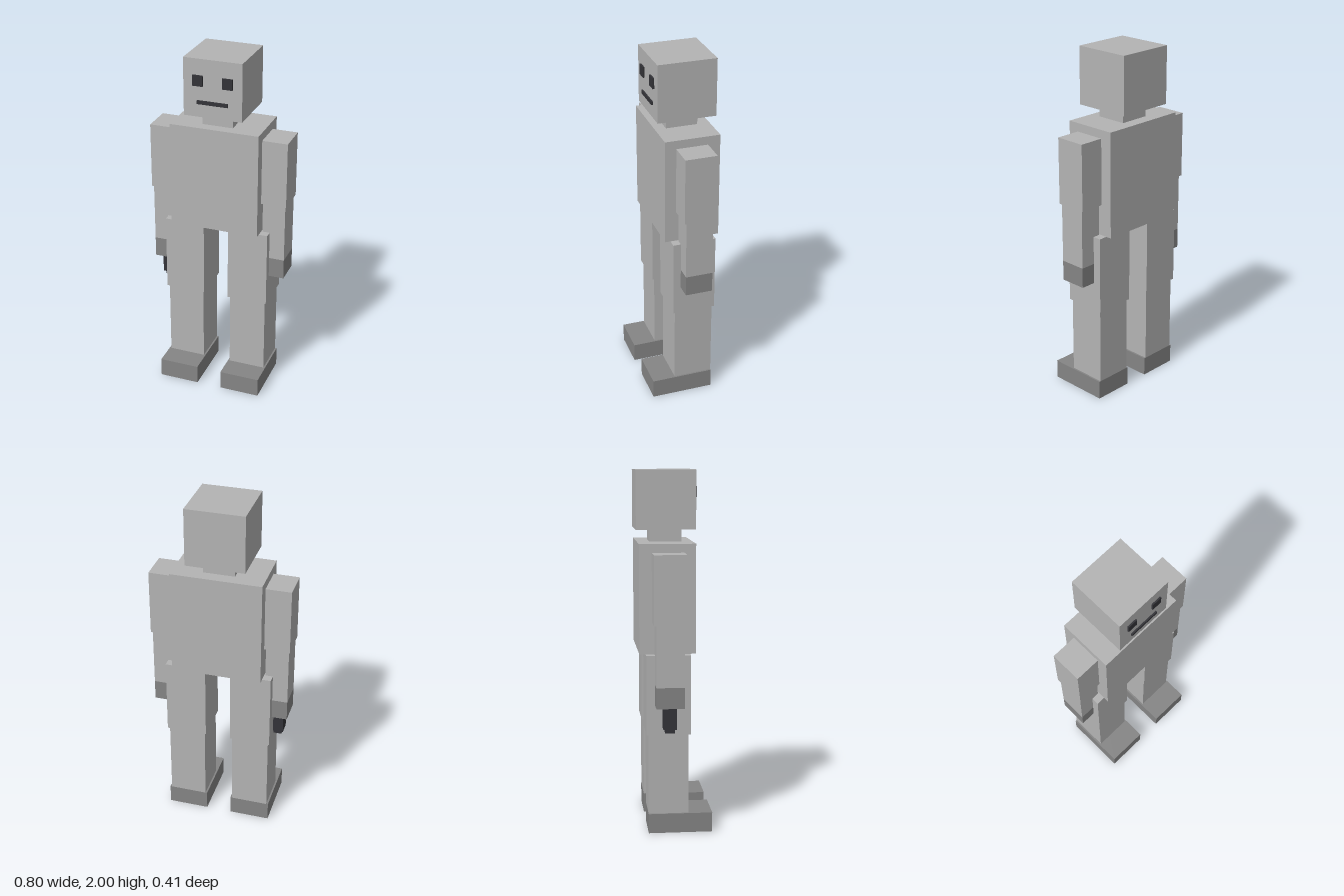
import * as THREE from 'three';

const material = (name, color) => {
  const m = new THREE.MeshStandardMaterial({ color });
  m.name = name;
  return m;
};

export function createModel() {
  const lightGrey = material('light grey', 0xb4b4b4);
  const darkGrey = material('dark grey', 0x858585);
  const charcoal = material('charcoal', 0x333338);

  const model = new THREE.Group();
  model.name = 'blockFigure';

  // Box given by its [min, max] extent on each axis
  function block(parent, name, mat, [x0, x1], [y0, y1], [z0, z1]) {
    const mesh = new THREE.Mesh(new THREE.BoxGeometry(Math.abs(x1 - x0), y1 - y0, z1 - z0), mat);
    mesh.position.set((x0 + x1) / 2, (y0 + y1) / 2, (z0 + z1) / 2);
    mesh.name = name;
    parent.add(mesh);
  }

  // Torso, neck and head
  block(model, 'torso', lightGrey, [-0.256, 0.256], [1.003, 1.605], [-0.195, 0.115]);
  block(model, 'neck', lightGrey, [-0.088, 0.088], [1.605, 1.675], [-0.125, 0.053]);
  const head = new THREE.Group();
  head.name = 'head';
  model.add(head);
  block(head, 'skull', lightGrey, [-0.166, 0.166], [1.675, 2], [-0.205, 0.125]);
  block(head, 'mouth', charcoal, [-0.088, 0.088], [1.75, 1.77], [0.125, 0.134]);

  // Mirrored eyes, arms and legs
  for (const [side, s] of [['left', 1], ['right', -1]]) {
    const span = (a, b) => [s * a, s * b];
    block(head, side + 'Eye', charcoal, span(0.055, 0.113), [1.85, 1.91], [0.125, 0.134]);

    const arm = new THREE.Group();
    arm.name = side + 'Arm';
    model.add(arm);
    block(arm, side + 'UpperArm', lightGrey, span(0.256, 0.4), [1.18, 1.557], [-0.126, 0.052]);
    block(arm, side + 'Forearm', lightGrey, span(0.263, 0.393), [0.842, 1.18], [-0.113, 0.041]);
    block(arm, side + 'Hand', darkGrey, span(0.263, 0.393), [0.726, 0.842], [-0.113, 0.041]);

    const leg = new THREE.Group();
    leg.name = side + 'Leg';
    model.add(leg);
    block(leg, side + 'Thigh', lightGrey, span(0.073, 0.306), [0.56, 1.003], [-0.161, 0.084]);
    block(leg, side + 'Shin', lightGrey, span(0.083, 0.296), [0.11, 0.56], [-0.15, 0.072]);
    block(leg, side + 'Foot', darkGrey, span(0.073, 0.306), [0, 0.11], [-0.15, 0.205]);
  }

  // Tool hanging from the right hand, with a narrower tip
  const tool = new THREE.Group();
  tool.name = 'heldTool';
  model.add(tool);
  block(tool, 'toolBody', charcoal, [-0.364, -0.292], [0.603, 0.73], [-0.073, 0.001]);
  block(tool, 'toolTip', charcoal, [-0.353, -0.303], [0.581, 0.603], [-0.062, -0.01]);

  return model;
}
